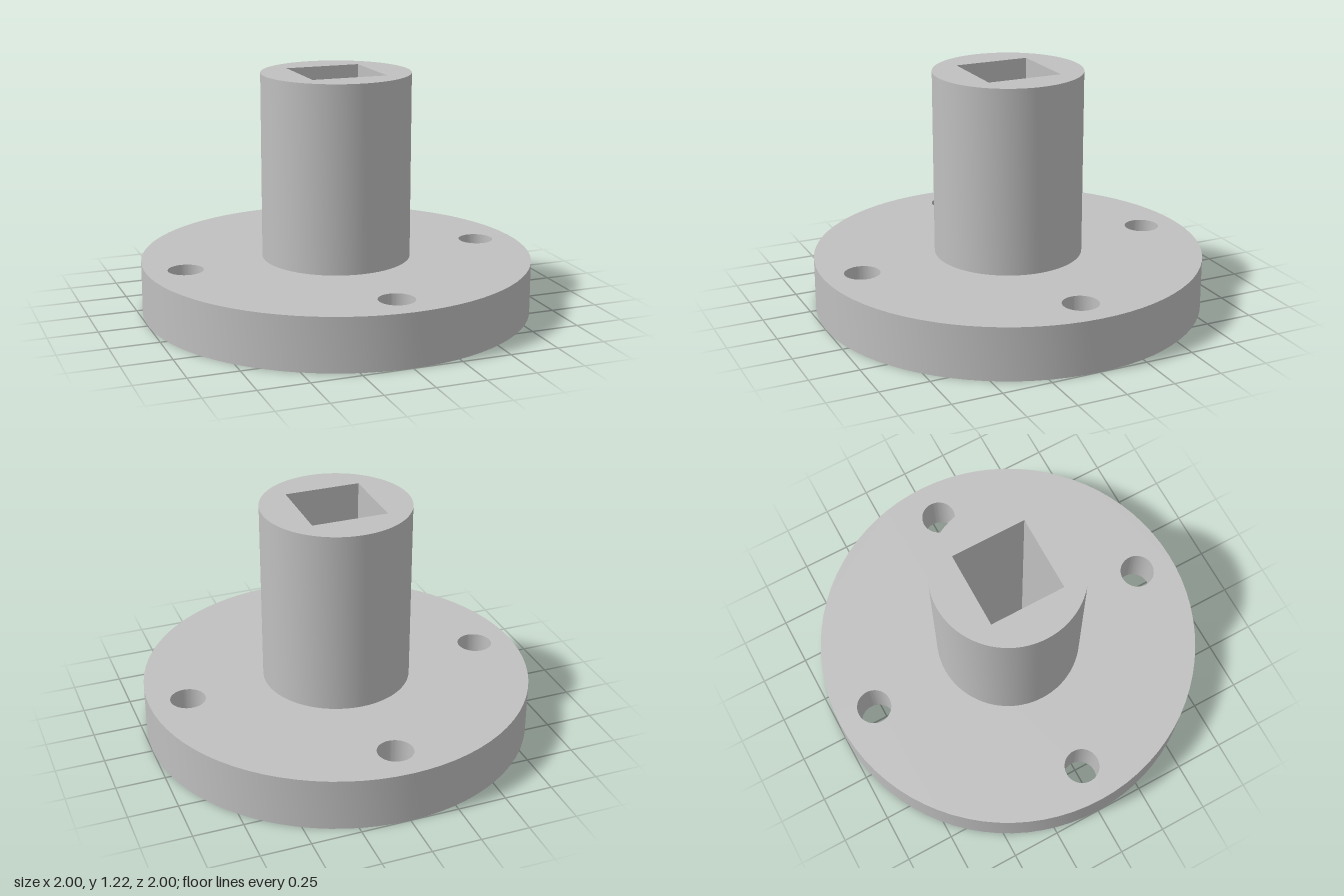
import * as THREE from 'three';
import { toCreasedNormals } from 'three/addons/utils/BufferGeometryUtils.js';

const BORE = 0.195; // half width of the square bore

// Upright disc with a square bore and optional round holes [x, z, radius]
function boredDisc(radius, height, holes = []) {
  const shape = new THREE.Shape().absarc(0, 0, radius, 0, Math.PI * 2, false);
  shape.holes.push(new THREE.Path([
    new THREE.Vector2(-BORE, -BORE),
    new THREE.Vector2(-BORE, BORE),
    new THREE.Vector2(BORE, BORE),
    new THREE.Vector2(BORE, -BORE),
  ]));
  for (const [x, z, r] of holes) {
    shape.holes.push(new THREE.Path().absarc(x, -z, r, 0, Math.PI * 2, true));
  }
  const geometry = new THREE.ExtrudeGeometry(shape, {
    depth: height, bevelEnabled: false, curveSegments: 40,
  });
  geometry.rotateX(-Math.PI / 2);
  return toCreasedNormals(geometry, 0.5);
}

export function createModel() {
  const group = new THREE.Group();
  group.name = 'flangedHub';

  const steel = new THREE.MeshStandardMaterial({ color: 0xc0c0c0 });
  steel.name = 'grey steel';

  const flangeHeight = 0.27;
  const totalHeight = 1.22;

  // Flange with four bolt holes
  const boltHoles = [];
  for (let i = 0; i < 4; i++) {
    const a = (i * Math.PI) / 2;
    boltHoles.push([0.8 * Math.cos(a), 0.8 * Math.sin(a), 0.09]);
  }
  const flange = new THREE.Mesh(boredDisc(1, flangeHeight, boltHoles), steel);
  flange.name = 'flange';
  group.add(flange);

  // Hub standing on the flange, sharing the square bore
  const hub = new THREE.Mesh(boredDisc(0.38, totalHeight - flangeHeight), steel);
  hub.name = 'hub';
  hub.position.y = flangeHeight;
  group.add(hub);

  return group;
}
